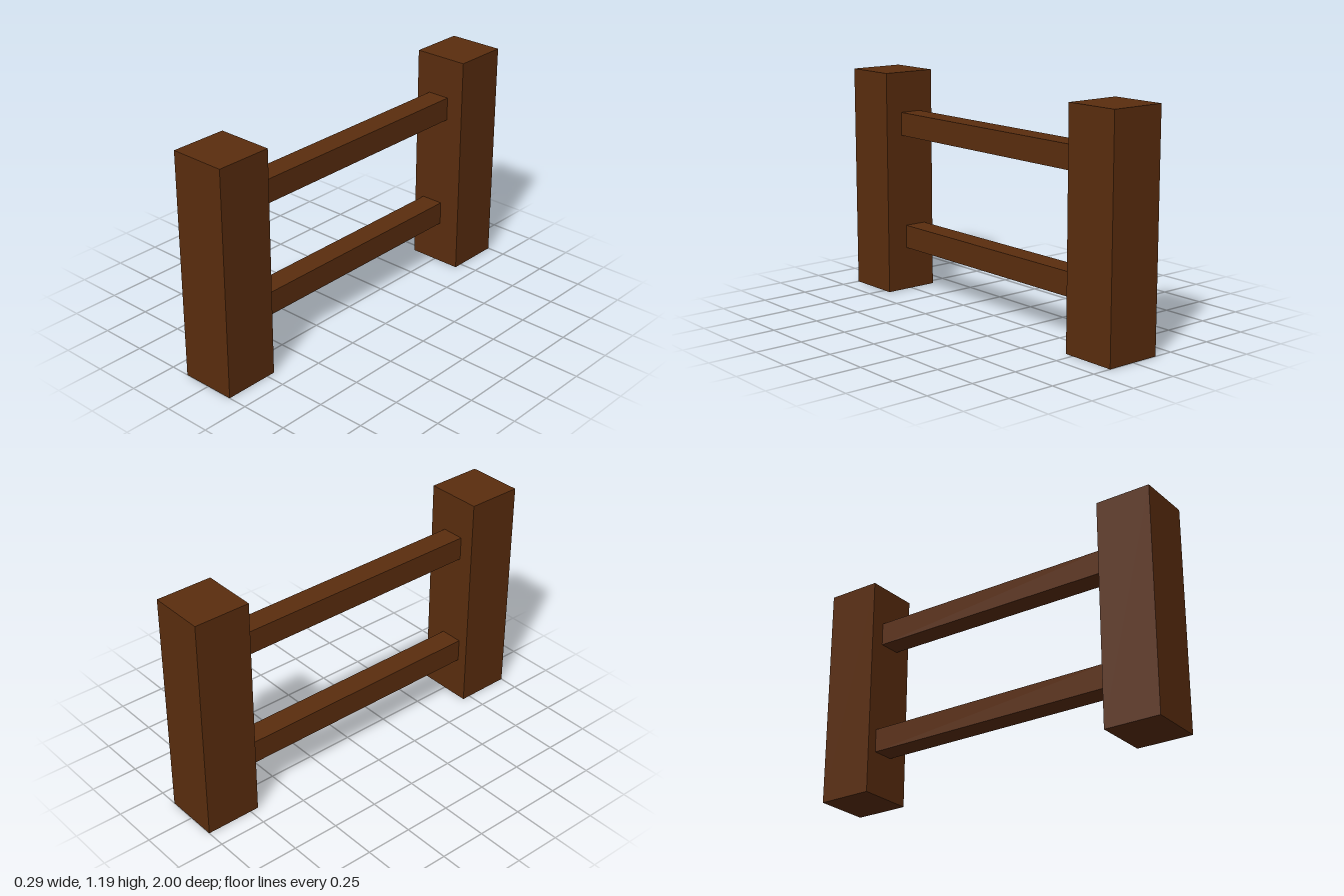
import * as THREE from 'three';

export function createModel() {
  const group = new THREE.Group();
  const wood = new THREE.MeshStandardMaterial({ color: 0x5a2d0e, flatShading: true });

  const addBeam = (name, size, position) => {
    const mesh = new THREE.Mesh(new THREE.BoxGeometry(...size), wood);
    mesh.name = name;
    mesh.position.set(...position);
    group.add(mesh);
  };

  // Square posts at both ends
  const postWidth = 0.295, postHeight = 1.19;
  for (const [name, side] of [['frontPost', 1], ['backPost', -1]]) {
    addBeam(name, [postWidth, postHeight, postWidth],
      [0, postHeight / 2, side * (1 - postWidth / 2)]);
  }

  // Rails between the posts, set slightly into them; the lower one sits a little to the side
  const railLength = 1.44;
  addBeam('upperRail', [0.122, 0.124, railLength], [-0.008, 0.913, 0]);
  addBeam('lowerRail', [0.122, 0.124, railLength], [-0.031, 0.293, 0]);

  return group;
}
